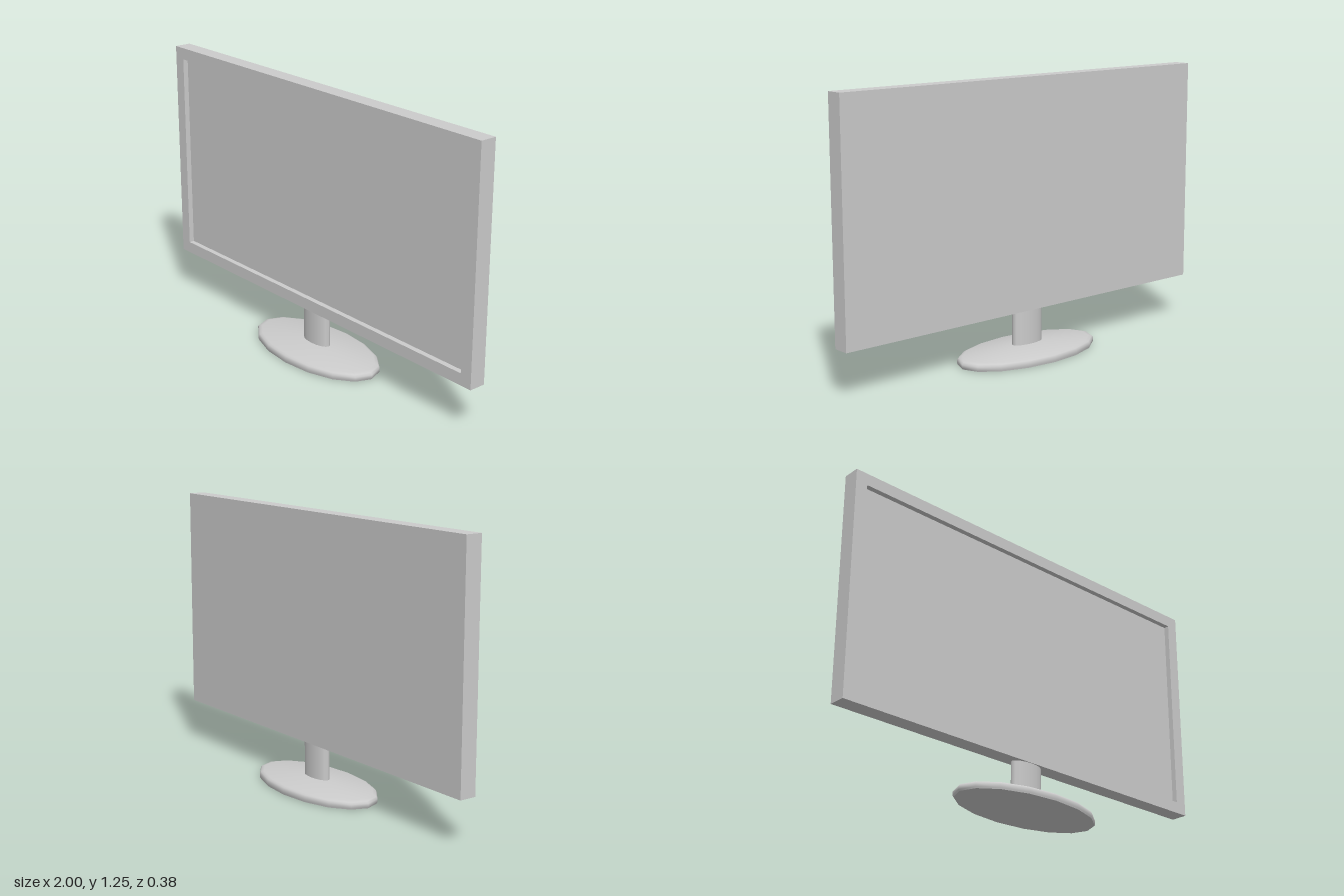
import * as THREE from 'three';
import { toCreasedNormals } from 'three/addons/utils/BufferGeometryUtils.js';

const material = new THREE.MeshStandardMaterial({ color: 0xcccccc });

function addPart(group, name, geometry, x = 0, y = 0, z = 0) {
  const mesh = new THREE.Mesh(geometry, material);
  mesh.name = name;
  mesh.position.set(x, y, z);
  group.add(mesh);
}

// Counter-clockwise rectangle outline
function rectangle(target, x0, y0, x1, y1) {
  target.moveTo(x0, y0);
  target.lineTo(x1, y0);
  target.lineTo(x1, y1);
  target.lineTo(x0, y1);
  target.closePath();
  return target;
}

export function createModel() {
  const model = new THREE.Group();
  model.name = 'monitor';

  const bottom = 0.21, top = 1.255, halfDepth = 0.039, recess = 0.025;

  // Housing: solid back, its front face is the recessed screen surface
  const backDepth = halfDepth * 2 - recess;
  addPart(model, 'screenHousing', new THREE.BoxGeometry(2, top - bottom, backDepth),
    0, (top + bottom) / 2, -halfDepth + backDepth / 2);

  // Bezel around the recessed screen
  const bezel = rectangle(new THREE.Shape(), -1, bottom, 1, top);
  bezel.holes.push(rectangle(new THREE.Path(), -0.943, 0.264, 0.943, 1.2));
  addPart(model, 'bezel', new THREE.ExtrudeGeometry(bezel, { depth: recess, bevelEnabled: false }),
    0, 0, halfDepth - recess);

  // Oval neck
  const neck = new THREE.CylinderGeometry(0.0355, 0.0355, 0.18, 16, 1, true);
  neck.scale(2.32, 1, 1);
  addPart(model, 'neck', neck, 0, 0.13, 0);

  // Oval foot with a rounded rim and gently sloping top
  const profile = [
    [0, 0], [0.186, 0], [0.188, 0.006], [0.188, 0.022], [0.184, 0.031],
    [0.174, 0.036], [0.036, 0.053], [0, 0.053],
  ].map(([r, y]) => new THREE.Vector2(r, y));
  const foot = toCreasedNormals(new THREE.LatheGeometry(profile, 16), 0.8);
  foot.scale(2, 1, 1);
  addPart(model, 'foot', foot);

  return model;
}
